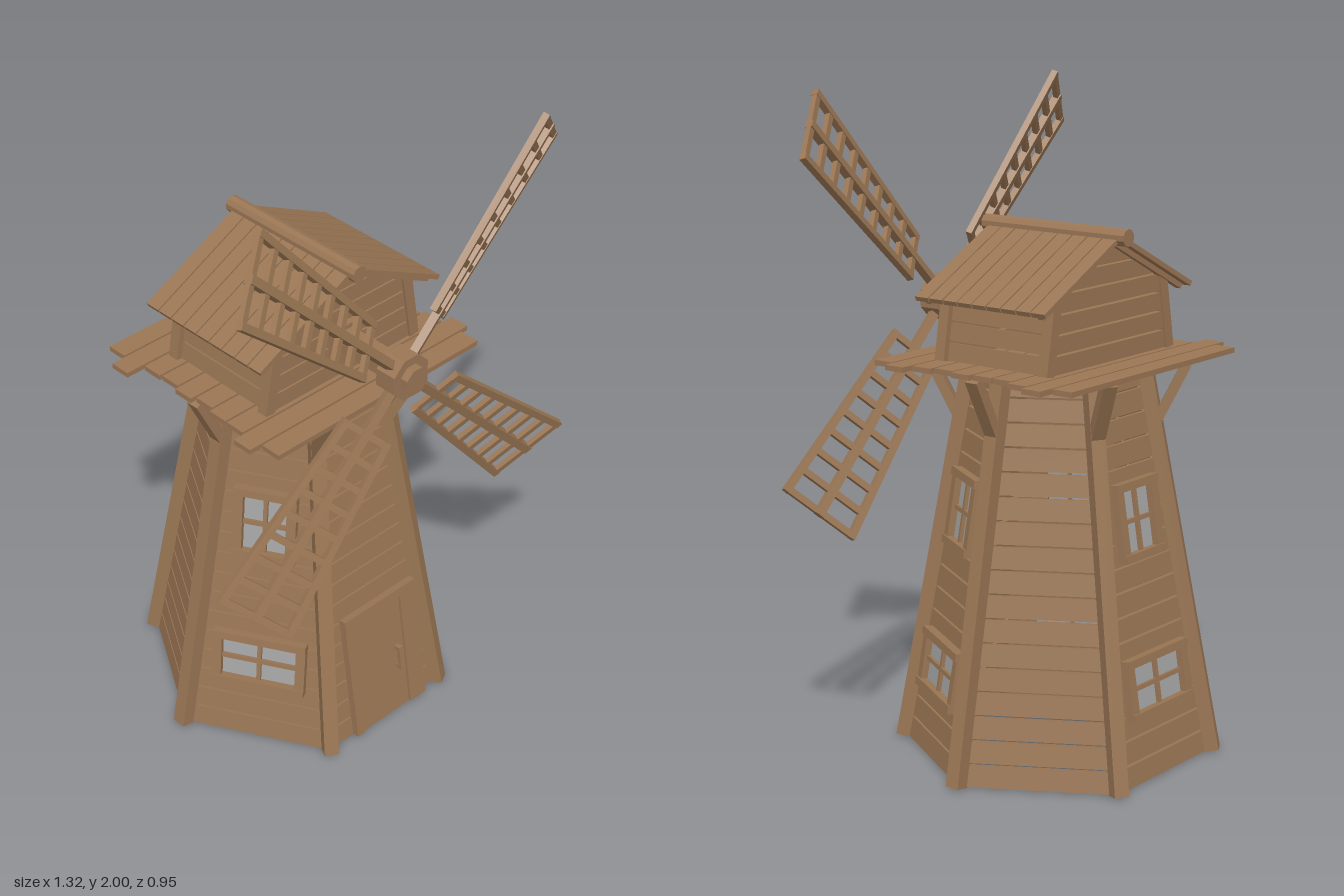
import * as THREE from 'three';

const wood = new THREE.MeshStandardMaterial({ color: 0x9a7654, flatShading: true, side: THREE.DoubleSide });
const glass = new THREE.MeshStandardMaterial({ color: 0xa4a4a4, side: THREE.DoubleSide });
const V = (x, y, z) => new THREE.Vector3(x, y, z);
const lerp = THREE.MathUtils.lerp;
const CZ = -0.03; // tower axis

function group(parent, name) {
  const g = new THREE.Group();
  g.name = name;
  parent.add(g);
  return g;
}

function add(parent, name, geometry, material = wood) {
  const m = new THREE.Mesh(geometry, material);
  m.name = name;
  parent.add(m);
  return m;
}

function box(parent, name, w, h, d, x, y, z, material) {
  const m = add(parent, name, new THREE.BoxGeometry(w, h, d), material);
  m.position.set(x, y, z);
  return m;
}

// Square timber from a to b; its depth d faces the direction "out"
function beam(parent, name, a, b, w, d, out) {
  const y = b.clone().sub(a);
  const m = add(parent, name, new THREE.BoxGeometry(w, y.length(), d));
  y.normalize();
  const x = y.clone().cross(out).normalize();
  m.quaternion.setFromRotationMatrix(new THREE.Matrix4().makeBasis(x, y, x.clone().cross(y)));
  m.position.copy(a).add(b).multiplyScalar(0.5);
  return m;
}

// Flat plank from outline points, front surface at z = 0
function plank(parent, name, pts, depth = 0.02) {
  const shape = new THREE.Shape(pts.map(p => new THREE.Vector2(p[0], p[1])));
  const geo = new THREE.ExtrudeGeometry(shape, { depth, bevelEnabled: false });
  return add(parent, name, geo.translate(0, 0, -depth));
}

// Window: frame, cross bars and pane, centred at height v on a wall
function windowUnit(parent, { v, w, h }) {
  const g = group(parent, 'window');
  g.position.y = v;
  const f = 0.03;
  for (const s of [-1, 1]) {
    box(g, 'windowJamb', f, h, 0.04, s * (w + f) / 2, 0, 0.005);
    box(g, 'windowRail', w + 2 * f, f * 0.8, 0.046, 0, s * (h + f * 0.8) / 2, 0.008);
  }
  box(g, 'windowMullion', 0.013, h, 0.02, 0, 0, 0.005);
  box(g, 'windowBar', w, 0.013, 0.02, 0, 0, 0.005);
  box(g, 'windowPane', w, h, 0.004, 0, 0, 0.002, glass);
}

function door(parent) {
  const g = group(parent, 'door');
  box(g, 'doorPanel', 0.2, 0.4, 0.02, 0, 0.202, 0.006);
  box(g, 'doorJamb', 0.03, 0.43, 0.03, -0.117, 0.217, 0.008);
  box(g, 'doorJamb', 0.066, 0.43, 0.03, 0.135, 0.217, 0.008);
  box(g, 'doorLintel', 0.3, 0.03, 0.032, 0.018, 0.42, 0.008);
  box(g, 'doorHandle', 0.018, 0.085, 0.012, 0.07, 0.195, 0.034);
  for (const y of [0.16, 0.23]) box(g, 'handleMount', 0.014, 0.012, 0.02, 0.07, y, 0.022);
}

// Six tapered, planked walls with corner posts and platform struts
function tower(root) {
  const g = group(root, 'tower');
  g.position.z = CZ;
  const a0 = 0.407, a1 = 0.2165, H = 1.2, rows = 17;
  const tilt = Math.atan((a0 - a1) / H), L = H / Math.cos(tilt);
  const windows = [{ v: 0.285, w: 0.235, h: 0.135 }, { v: 0.77, w: 0.135, h: 0.185 }];

  for (let k = 0; k < 6; k++) {
    const side = group(g, 'wallSide');
    side.rotation.y = k * Math.PI / 3;
    const wall = group(side, 'wall');
    wall.position.z = a0;
    wall.rotation.x = -tilt;
    const holes = [1, 3, 5].includes(k) ? windows : [];
    const hasWindows = k === 1 || k === 3 || k === 5;
    const half = v => lerp(0.235, 0.125, v / L);
    for (let i = 0; i < rows; i++) {
      const v0 = i * L / rows + 0.003, v1 = (i + 1) * L / rows - 0.004, mid = (v0 + v1) / 2;
      const h0 = half(v0), h1 = half(v1);
      const hole = hasWindows && holes.find(o => Math.abs(mid - o.v) < o.h / 2);
      if (hole) {
        const c = hole.w / 2;
        plank(wall, 'wallPlank', [[-h0, v0], [-c, v0], [-c, v1], [-h1, v1]]);
        plank(wall, 'wallPlank', [[c, v0], [h0, v0], [h1, v1], [c, v1]]);
      } else {
        plank(wall, 'wallPlank', [[-h0, v0], [h0, v0], [h1, v1], [-h1, v1]]);
      }
    }
    if (hasWindows) windows.forEach(o => windowUnit(wall, o));
    if (k === 0) door(wall);

    const a = (k + 0.5) * Math.PI / 3;
    const out = V(Math.sin(a), 0, Math.cos(a));
    const at = (r, y) => out.clone().multiplyScalar(r).setY(y);
    beam(g, 'cornerPost', at(0.476, 0.004), at(0.258, 1.2), 0.045, 0.045, out);
    beam(g, 'platformStrut', at(0.29, 1.01), at(0.385, 1.2), 0.043, 0.03, out);
  }
}

// Deck of uneven boards
function platform(root) {
  const g = group(root, 'platform');
  const ends = [[-0.4, 0.4], [-0.45, 0.445], [-0.39, 0.415], [-0.385, 0.39], [-0.4, 0.39],
    [-0.385, 0.4], [-0.4, 0.385], [-0.4, 0.4], [-0.44, 0.435], [-0.4, 0.4]];
  ends.forEach(([l, r], i) =>
    box(g, 'platformBoard', r - l, 0.016, 0.066, (l + r) / 2, 1.208, -0.357 + i * 0.073));
}

// Planked cabin with gables and boarded roof
function cabin(root) {
  const g = group(root, 'cabin');
  const zc = -0.025, half = 0.2;
  const wallX = y => 0.29 - (y - 1.217) * 0.17;
  const width = y => Math.min(wallX(y), (1.572 - y) / 0.5);
  const rows = 6, pitch = 0.058;
  for (const s of [-1, 1]) {
    const gable = group(g, s > 0 ? 'frontGable' : 'backGable');
    gable.position.z = zc + s * half;
    if (s < 0) gable.rotation.y = Math.PI;
    for (let i = 0; i < rows; i++) {
      const y0 = 1.217 + i * pitch, y1 = y0 + pitch - 0.006;
      const w0 = width(y0), w1 = width(y1);
      plank(gable, 'gablePlank', [[-w0, y0], [w0, y0], [w1, y1], [-w1, y1]]);
    }
    for (let i = 0; i < 4; i++) {
      const y0 = 1.217 + i * pitch, y1 = y0 + pitch - 0.006;
      beam(g, 'cabinSidePlank', V(s * (wallX(y0) - 0.01), y0, zc), V(s * (wallX(y1) - 0.01), y1, zc),
        2 * half - 0.02, 0.018, V(s, 0, 0));
    }
    for (const e of [-1, 1])
      beam(g, 'cabinPost', V(s * 0.29, 1.217, zc + e * 0.19), V(s * 0.252, 1.44, zc + e * 0.19),
        0.035, 0.035, V(s, 0, 0));
    // roof boards and the batten below each end
    const slope = V(s * 0.18, 0.355, 0);
    for (let i = 0; i < 9; i++)
      beam(g, 'roofBoard', V(s * 0.353, 1.403, 0).setZ(-0.238 + i * 0.0533), V(0, 1.582, -0.238 + i * 0.0533),
        0.049, 0.015, slope);
    for (const e of [-1, 1])
      beam(g, 'roofBatten', V(s * 0.335, 1.396, zc + e * 0.205), V(0, 1.566, zc + e * 0.205), 0.02, 0.018, slope);
  }
  const ridge = add(g, 'ridgePole', new THREE.CylinderGeometry(0.026, 0.026, 0.525, 10));
  ridge.rotation.x = Math.PI / 2;
  ridge.position.set(0, 1.583, -0.025);
}

// Lattice sails turning on an octagonal shaft
function rotor(root) {
  const g = group(root, 'rotor');
  g.position.set(0, 1.34, 0.41);
  const drum = (name, r, z0, z1) => {
    const geo = new THREE.CylinderGeometry(r, r, z1 - z0, 8).rotateY(Math.PI / 8).rotateX(Math.PI / 2);
    add(g, name, geo).position.z = (z0 + z1) / 2;
  };
  drum('shaft', 0.044, -0.33, 0.06);
  drum('hub', 0.072, -0.035, 0.035);
  box(g, 'shaftBearing', 0.11, 0.11, 0.03, 0, 0, -0.23);

  const r0 = 0.19, r1 = 0.806, rungs = 9;
  for (let k = 0; k < 4; k++) {
    const sail = group(g, 'sail');
    sail.rotation.set(0, 0.42, Math.PI / 4 + k * Math.PI / 2, 'ZYX');
    box(sail, 'sailSpar', 0.026, r1 - 0.04, 0.024, 0, (r1 + 0.04) / 2, 0);
    for (const s of [-1, 1])
      beam(sail, 'sailRail', V(s * 0.076, r0, 0), V(s * 0.124, r1, 0), 0.022, 0.02, V(0, 0, 1));
    for (let i = 0; i < rungs; i++) {
      const t = i / (rungs - 1);
      box(sail, 'sailRung', 2 * lerp(0.076, 0.124, t), 0.02, 0.016, 0, lerp(r0 + 0.01, r1 - 0.01, t), 0);
    }
  }
}

export function createModel() {
  const root = new THREE.Group();
  root.name = 'windmill';
  tower(root);
  platform(root);
  cabin(root);
  rotor(root);
  return root;
}
